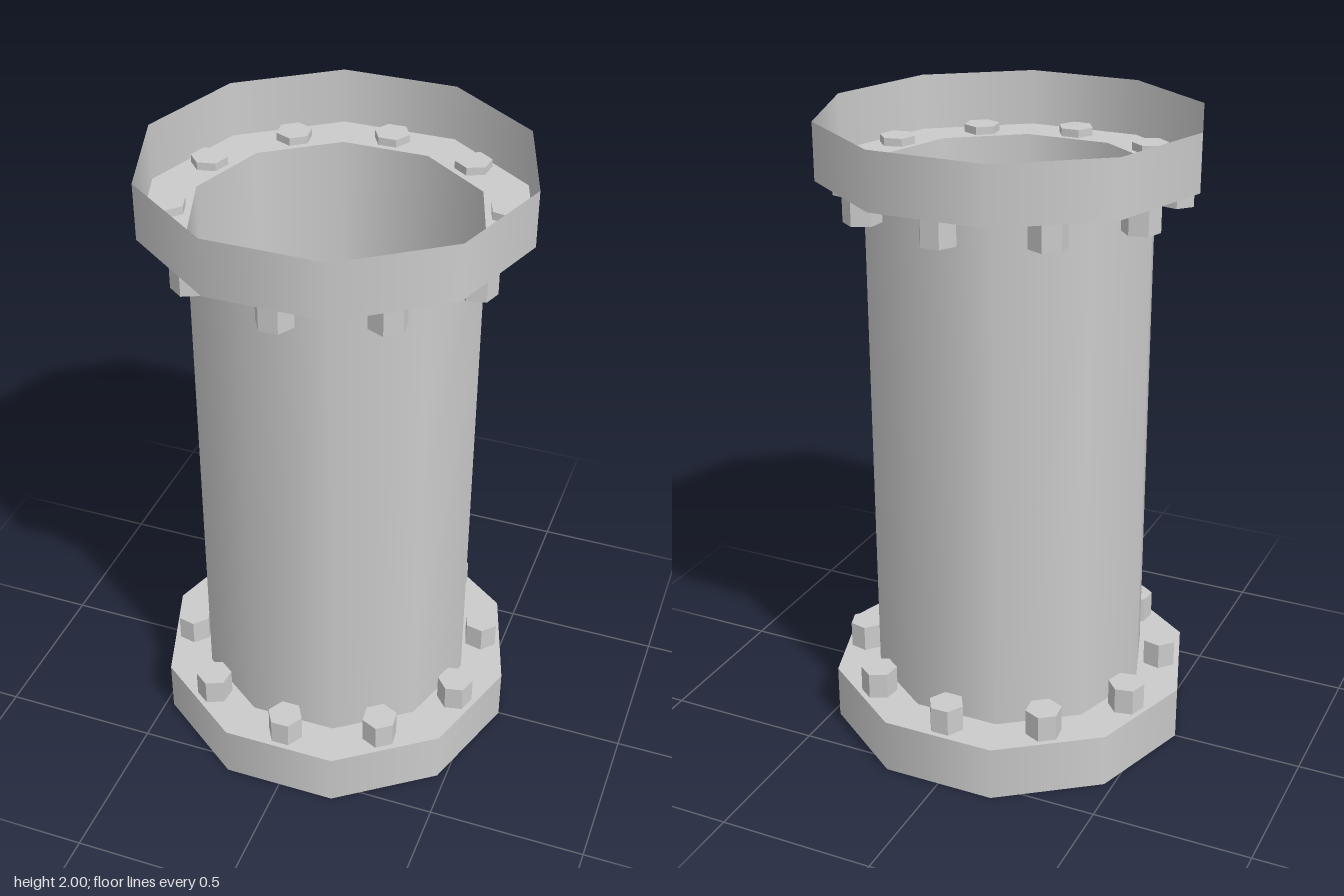
import * as THREE from 'three';

const SIDES = 10;
const PIPE_R = 0.443, FLANGE_R = 0.585, FLANGE_H = 0.175;
const BOLT_RING_R = 0.49, BOLT_R = 0.057, BOLT_H = 0.11;

export function createModel() {
  const model = new THREE.Group();
  model.name = 'flangedPipe';
  const shell = new THREE.MeshStandardMaterial({ color: 0xcccccc, side: THREE.DoubleSide });
  const solid = new THREE.MeshStandardMaterial({ color: 0xcccccc, flatShading: true });

  const add = (parent, name, geometry, material, y) => {
    const mesh = new THREE.Mesh(geometry, material);
    mesh.name = name;
    mesh.position.y = y;
    parent.add(mesh);
    return mesh;
  };
  // Open ten-sided wall with a corner on +x
  const wall = (r, h) => new THREE.CylinderGeometry(r, r, h, SIDES, 1, true, Math.PI / 2);

  // Thin open pipe between the two flanges
  add(model, 'pipe', wall(PIPE_R, 2 - 2 * FLANGE_H), shell, 1);

  const skirtGeo = wall(FLANGE_R, FLANGE_H);
  const plateGeo = new THREE.RingGeometry(PIPE_R, FLANGE_R, SIDES).rotateX(-Math.PI / 2);
  const boltGeo = new THREE.CylinderGeometry(BOLT_R, BOLT_R, BOLT_H, 6, 1, false, Math.PI / 2);

  for (const [name, dir] of [['topFlange', 1], ['bottomFlange', -1]]) {
    const flange = new THREE.Group();
    flange.name = name;
    flange.position.y = 1;
    const plateY = dir * (1 - FLANGE_H);

    // Cup-shaped flange: outer skirt plus a plate joining it to the pipe
    add(flange, 'skirt', skirtGeo, shell, dir * (1 - FLANGE_H / 2));
    const plate = add(flange, 'plate', plateGeo, shell, plateY);
    if (dir < 0) plate.rotation.x = Math.PI;

    // Hex bolts centred on each side, poking slightly through the plate
    for (let i = 0; i < SIDES; i++) {
      const a = (i / SIDES) * Math.PI * 2;
      const bolt = add(flange, 'bolt', boltGeo, solid, plateY - dir * 0.03);
      bolt.position.x = Math.sin(a) * BOLT_RING_R;
      bolt.position.z = Math.cos(a) * BOLT_RING_R;
      bolt.rotation.y = a;
    }
    model.add(flange);
  }
  return model;
}
